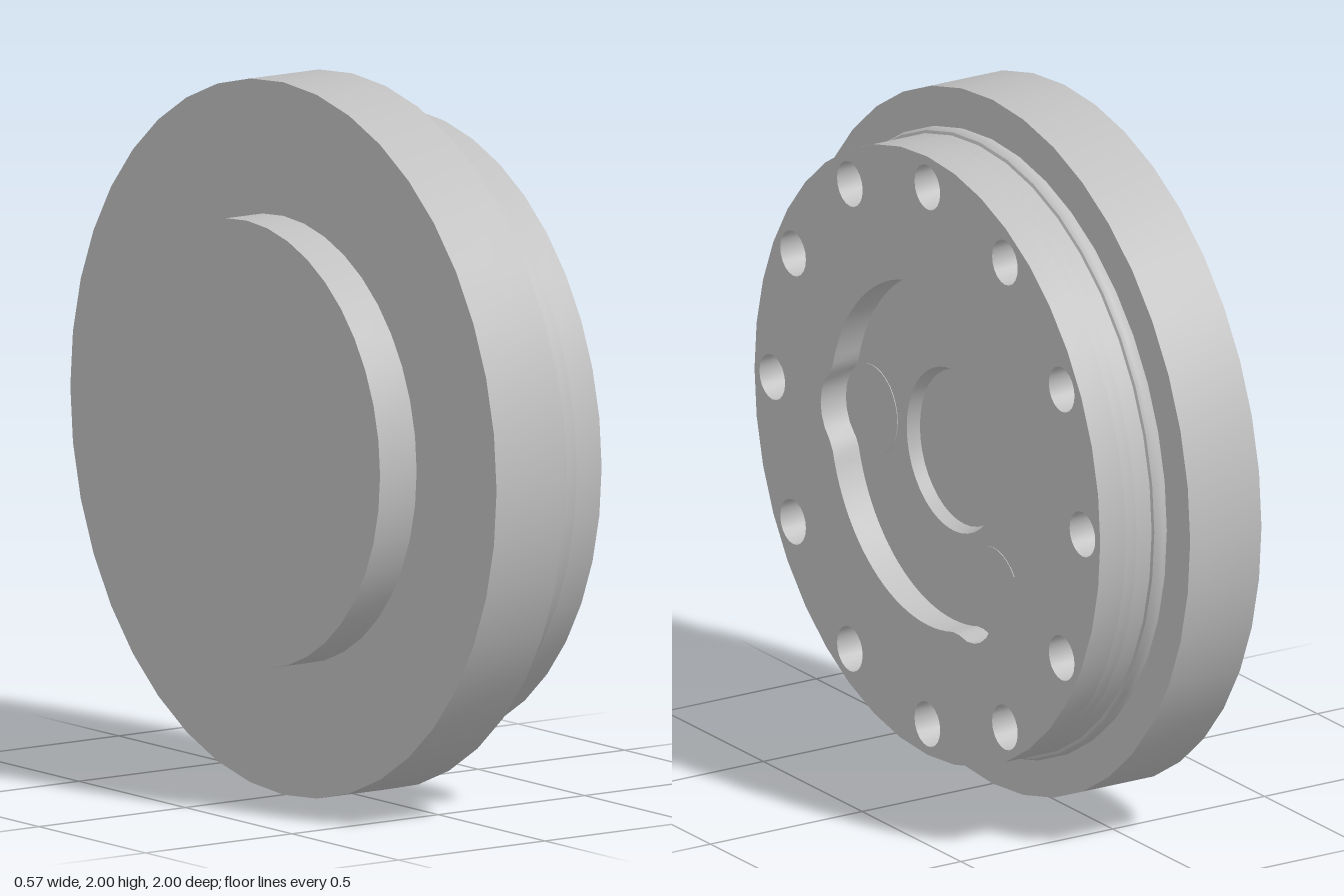
import * as THREE from 'three';
import { toCreasedNormals } from 'three/addons/utils/BufferGeometryUtils.js';

const SIDES = 40;
const FACE = 0.285, FLOOR = 0.2, CENTRE_FLOOR = 0.165; // depths along the x axis
const metal = new THREE.MeshStandardMaterial({ color: 0xc0c0c0 });
metal.name = 'grey metal';

export function createModel() {
  const group = new THREE.Group();
  group.name = 'flangeCap';

  const add = (name, geometry) => {
    const mesh = new THREE.Mesh(toCreasedNormals(geometry, 0.6), metal);
    mesh.name = name;
    group.add(mesh);
    return mesh;
  };

  // Profile of [radius, x] pairs turned round the x axis
  const turned = (name, profile, sides = SIDES) => {
    const points = profile.map(([r, x]) => new THREE.Vector2(r, x));
    const mesh = add(name, new THREE.LatheGeometry(points, sides).rotateZ(-Math.PI / 2));
    mesh.position.y = 1;
    return mesh;
  };

  // Closed outline from a radius that may depend on the angle
  const outline = (radius, cx = 0, cy = 0, sides = SIDES) =>
    Array.from({ length: sides }, (_, i) => {
      const a = (i / sides) * Math.PI * 2;
      const r = typeof radius === 'function' ? radius(a) : radius;
      return new THREE.Vector2(cx + r * Math.cos(a), cy + r * Math.sin(a));
    });

  // Plate spanning x0 to x1, pierced by the given outlines
  const plate = (name, x0, x1, edge, holes) => {
    const shape = new THREE.Shape(edge);
    shape.holes = holes.map((h) => new THREE.Path(h));
    const geometry = new THREE.ExtrudeGeometry(shape, { depth: x1 - x0, bevelEnabled: false });
    add(name, geometry.rotateY(Math.PI / 2).translate(x0, 1, 0));
  };

  // Flange, rear boss and the core behind the pockets
  turned('flange', [[0, -0.165], [1, -0.165], [1, 0.07], [0, 0.07]]);
  turned('rearBoss', [[0, -0.29], [0.625, -0.29], [0.625, -0.16], [0, -0.16]]);
  turned('frontCore', [[0.875, 0.07], [0.875, CENTRE_FLOOR], [0, CENTRE_FLOOR]]);

  // Rounded seal at the foot of the front boss
  turned('sealRing', [
    [0.86, 0.068], [0.885, 0.072], [0.89, 0.085], [0.89, 0.1], [0.883, 0.112], [0.865, 0.12],
  ]);

  // Round recess with three lobes
  const LOBE_AT = 0.41, LOBE_R = 0.13;
  const lobeAngles = [Math.PI, Math.PI / 3, -Math.PI / 3];
  const recessRadius = (a) => {
    let r = 0.495;
    for (const lobe of lobeAngles) {
      const across = LOBE_AT * Math.sin(a - lobe);
      const along = LOBE_AT * Math.cos(a - lobe);
      if (along > 0 && Math.abs(across) < LOBE_R) {
        r = Math.max(r, along + Math.sqrt(LOBE_R ** 2 - across ** 2));
      }
    }
    return r;
  };

  // Ring of twelve bolt holes
  const BOLTS = 12, BOLT_AT = 0.785, BOLT_R = 0.065;
  const boltCentres = Array.from({ length: BOLTS }, (_, i) => {
    const a = (i / BOLTS) * Math.PI * 2;
    return [BOLT_AT * Math.cos(a), BOLT_AT * Math.sin(a)];
  });
  const boltHoles = boltCentres.map(([x, y]) => outline(BOLT_R, x, y, 20));

  plate('frontBoss', FLOOR, FACE, outline(0.875), [outline(recessRadius, 0, 0, 96), ...boltHoles]);
  plate('recessFloor', CENTRE_FLOOR, FLOOR, outline(0.875), [outline(0.235), ...boltHoles]);

  // Tapered wall of the centre pocket, facing inward
  turned('centrePocketWall', [[0.235, FLOOR], [0.222, CENTRE_FLOOR]]);

  // Conical bottoms of the bolt holes, facing outward
  for (const [x, y] of boltCentres) {
    const cone = turned('boltHoleBottom', [[BOLT_R, FLOOR], [0, CENTRE_FLOOR + 0.002]], 20);
    cone.position.set(0, 1 + y, -x);
  }

  // Thin round pads in the lobes
  for (const a of lobeAngles) {
    plate('lobePad', FLOOR, FLOOR + 0.002,
      outline(LOBE_R, LOBE_AT * Math.cos(a), LOBE_AT * Math.sin(a), 32), []);
  }

  return group;
}
